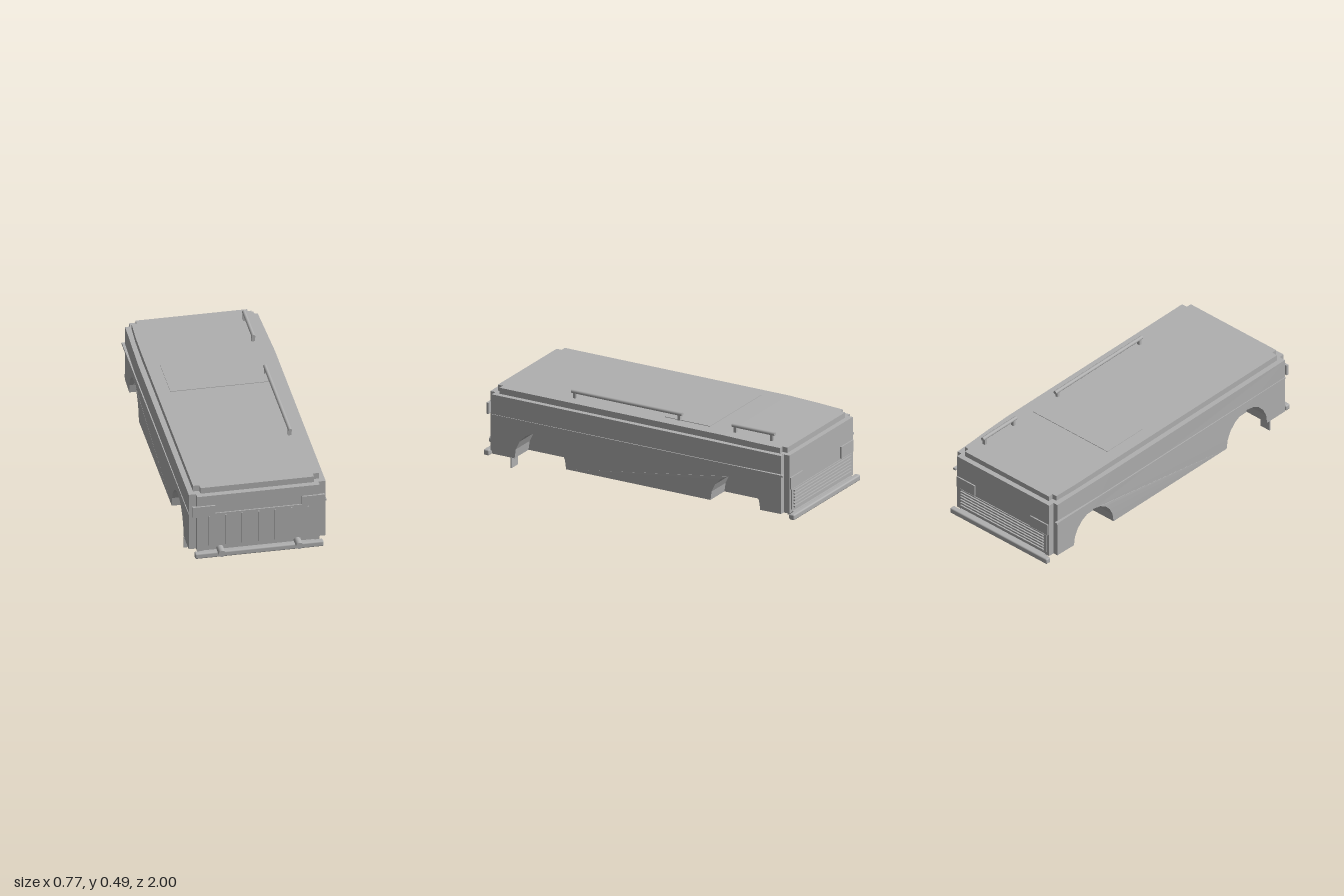
import * as THREE from 'three';
import { RoundedBoxGeometry } from 'three/addons/geometries/RoundedBoxGeometry.js';

export function createModel() {
  const model = new THREE.Group();
  model.name = 'vanBody';
  const grey = new THREE.MeshStandardMaterial({ color: 0xb0b0b0 });
  grey.name = 'bodyGrey';

  const add = (name, geometry) => {
    const mesh = new THREE.Mesh(geometry, grey);
    mesh.name = name;
    model.add(mesh);
    return mesh;
  };
  // Box given by its min and max corners
  const box = (name, x0, x1, y0, y1, z0, z1) =>
    add(name, new THREE.BoxGeometry(x1 - x0, y1 - y0, z1 - z0)
      .translate((x0 + x1) / 2, (y0 + y1) / 2, (z0 + z1) / 2));
  const reshape = (geometry, rule) => {
    const p = geometry.attributes.position;
    const v = new THREE.Vector3();
    for (let i = 0; i < p.count; i++) {
      rule(v.fromBufferAttribute(p, i));
      p.setXYZ(i, v.x, v.y, v.z);
    }
    geometry.computeVertexNormals();
    return geometry;
  };

  // Lower body: side profile with optional wheel arches, extruded across x
  const arches = [{ z: -0.64, rx: 0.155, ry: 0.165 }, { z: 0.59, rx: 0.163, ry: 0.174 }];
  const BOTTOM = 0.06;
  const bodySlab = (name, x0, x1, z0, z1, withArches) => {
    const s = new THREE.Shape();
    s.moveTo(z0, BOTTOM);
    if (withArches) {
      for (const a of arches) {
        for (let i = 0; i <= 10; i++) {
          const t = Math.PI * (1 - i / 10);
          s.lineTo(a.z + a.rx * Math.cos(t), BOTTOM + a.ry * Math.sin(t));
        }
      }
    }
    s.lineTo(z1, BOTTOM);
    s.lineTo(z1, 0.405);
    s.lineTo(-0.5, 0.405);
    s.lineTo(z0, 0.398);
    const g = new THREE.ExtrudeGeometry(s, { depth: x1 - x0, bevelEnabled: false });
    g.rotateY(-Math.PI / 2).translate(x1, 0, 0);
    // The outer sides draw in slightly towards the back
    reshape(g, v => {
      if (Math.abs(v.x) > 0.36 && v.z < -0.5) v.x -= Math.sign(v.x) * 0.012 * (-0.5 - v.z) / 0.43;
    });
    add(name, g);
  };
  bodySlab('bodyCore', -0.23, 0.23, -0.96, 0.93, false);
  bodySlab('leftInnerSide', 0.23, 0.34, -0.96, 0.93, true);
  bodySlab('rightInnerSide', -0.34, -0.23, -0.96, 0.93, true);
  bodySlab('leftOuterSide', 0.34, 0.38, -0.925, 0.897, true);
  bodySlab('rightOuterSide', -0.38, -0.34, -0.925, 0.897, true);

  // Roof slab with stepped corners; the back part slopes down
  const roofPart = (name, halfOutline) => {
    const right = halfOutline.map(([x, z]) => [-x, z]).reverse();
    const s = new THREE.Shape([...halfOutline, ...right].map(([x, z]) => new THREE.Vector2(x, z)));
    const g = new THREE.ExtrudeGeometry(s, { depth: 0.045, bevelEnabled: false });
    g.rotateX(Math.PI / 2).translate(0, 0.44, 0);
    reshape(g, v => {
      if (v.z < -0.55) v.y -= 0.011 * (-0.55 - v.z) / 0.38;
    });
    add(name, g);
  };
  roofPart('roofMain', [[0.35, -0.55], [0.35, 0.865], [0.315, 0.865], [0.315, 0.897]]);
  roofPart('roofBack', [[0.31, -0.93], [0.31, -0.9], [0.338, -0.9], [0.346, -0.75], [0.35, -0.55]]);
  box('roofHatch', -0.275, 0.275, 0.438, 0.443, -0.42, -0.135);

  // Roof rails on posts
  for (const [z0, z1] of [[-0.245, 0.455], [-0.83, -0.56]]) {
    add('roofRail', new THREE.CylinderGeometry(0.0105, 0.0105, z1 - z0, 16)
      .rotateX(Math.PI / 2).translate(0.272, 0.476, (z0 + z1) / 2));
    for (const z of [z0 + 0.02, z1 - 0.02])
      box('railPost', 0.263, 0.281, 0.435, 0.474, z - 0.008, z + 0.008);
  }

  // Ribbed front panel
  box('frontPanel', -0.303, 0.303, 0.085, 0.295, 0.925, 0.937);
  for (let i = -3; i <= 3; i++)
    box('frontRib', i * 0.0913 - 0.0035, i * 0.0913 + 0.0035, 0.095, 0.284, 0.935, 0.945);

  // Back grille with horizontal bars
  box('grillePanel', -0.32, 0.32, 0.078, 0.195, -0.965, -0.955);
  for (let i = 0; i < 6; i++)
    box('grilleBar', -0.305, 0.305, 0.087 + i * 0.0185, 0.095 + i * 0.0185, -0.974, -0.963);

  // Parts mirrored on both sides
  for (const side of [-1, 1]) {
    const pair = (name, x0, x1, ...rest) =>
      box(name, Math.min(side * x0, side * x1), Math.max(side * x0, side * x1), ...rest);
    pair('frontLamp', 0.24, 0.367, 0.28, 0.345, 0.925, 0.939);
    pair('backLamp', 0.205, 0.335, 0.2, 0.268, -0.968, -0.955);
    pair('sideMoulding', 0.366, 0.384, 0.28, 0.291, -0.943, 0.897);
    pair('mudFlap', 0.314, 0.383, 0, 0.065, 0.77, 0.776);
    add('bumperTube', new THREE.CylinderGeometry(0.0195, 0.0195, 0.09, 24)
      .rotateX(Math.PI / 2).translate(side * 0.215, 0.072, 0.955));
  }

  // Bumpers
  const bumper = (name, z) =>
    add(name, new RoundedBoxGeometry(0.714, 0.033, 0.034, 3, 0.008).translate(0, 0.048, z));
  bumper('frontBumper', 0.947);
  bumper('backBumper', -0.983);
  box('frontBumperMount', -0.31, 0.31, 0.04, 0.064, 0.9, 0.94);
  box('backBumperMount', -0.31, 0.31, 0.04, 0.064, -0.975, -0.93);

  return model;
}
